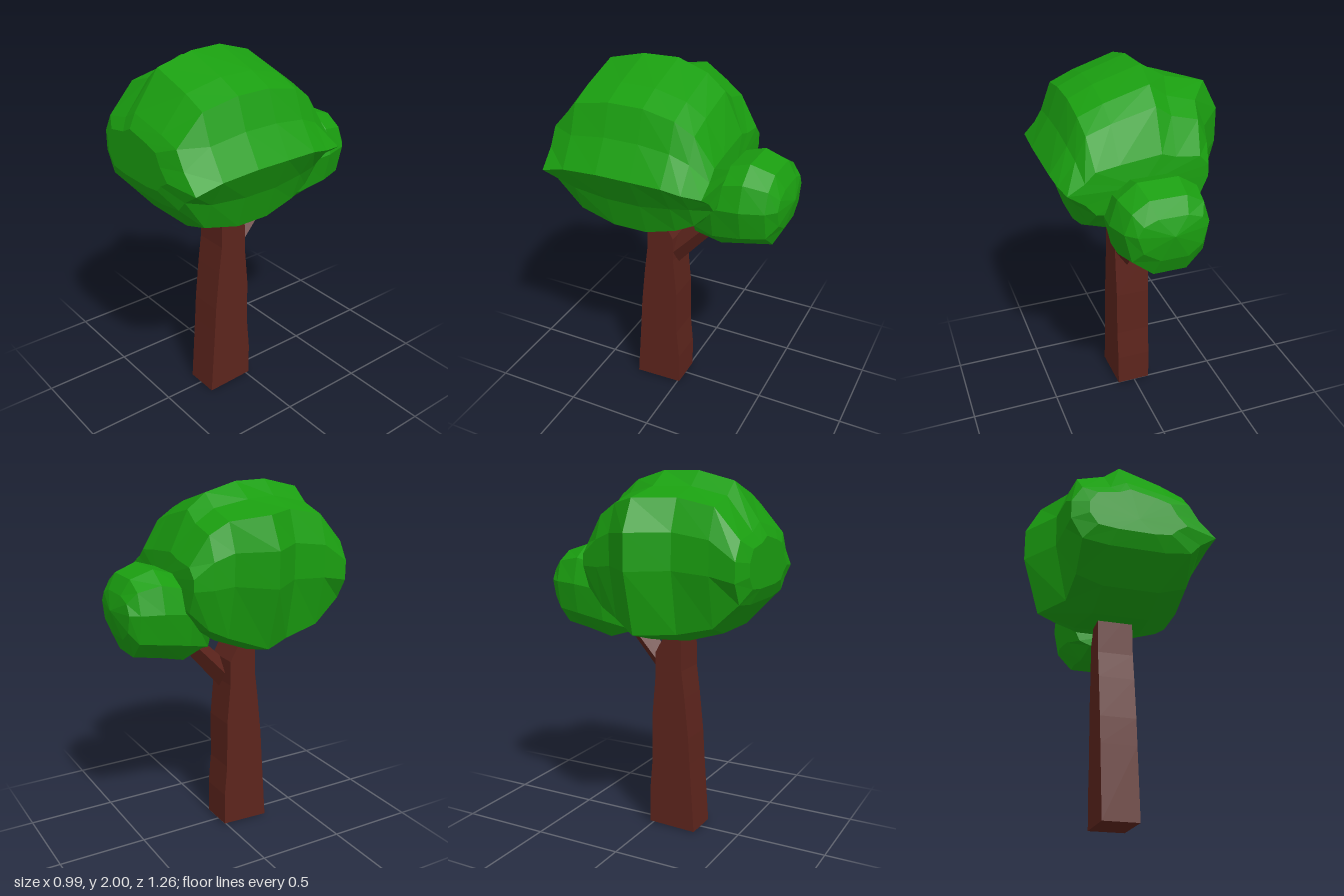
import * as THREE from 'three';

// Lofts a faceted blob front to back. section: points as fractions of the half extents,
// counter-clockwise from the top; slices: [z, left, right, bottom, middle, top].
function loft(section, slices, frontZ, backZ) {
  const rings = slices.map(([z, l, r, b, m, t]) =>
    section.map(([u, v]) => [u < 0 ? -u * l : u * r, v < 0 ? m + v * (m - b) : m + v * (t - m), z]));
  const n = section.length;
  const pos = [];
  const tri = (a, b, c) => pos.push(...a, ...b, ...c);
  for (let i = 0; i < rings.length - 1; i++) {
    for (let j = 0; j < n; j++) {
      const k = (j + 1) % n;
      const p = rings[i], q = rings[i + 1];
      tri(p[j], q[j], p[k]);
      tri(p[k], q[j], q[k]);
    }
  }
  // End caps
  const centre = ([, l, r, , m], z) => [(l + r) / 2, m, z];
  const first = rings[0], last = rings[rings.length - 1];
  const cf = centre(slices[0], frontZ), cb = centre(slices[slices.length - 1], backZ);
  for (let j = 0; j < n; j++) {
    const k = (j + 1) % n;
    tri(cf, first[j], first[k]);
    tri(cb, last[k], last[j]);
  }
  const geo = new THREE.BufferGeometry();
  geo.setAttribute('position', new THREE.Float32BufferAttribute(pos, 3));
  geo.computeVertexNormals();
  return geo;
}

export function createModel() {
  const group = new THREE.Group();
  const leaf = new THREE.MeshStandardMaterial({ color: 0x1a9e10, flatShading: true });
  const bark = new THREE.MeshStandardMaterial({ color: 0x5c241c, flatShading: true });
  const add = (name, geo, mat) => {
    const mesh = new THREE.Mesh(geo, mat);
    mesh.name = name;
    group.add(mesh);
    return mesh;
  };

  // Trunk: side profile (z, y) extruded across x
  const profile = [
    [0.265, 0], [0.235, 0.4], [0.225, 0.55], [0.2, 0.78], [0.18, 0.93], [0.175, 1.2],
    [0.09, 1.2], [0.07, 1.11], [0.02, 1.02], [0.02, 0.88], [0.0, 0.65], [0.0, 0.38], [-0.015, 0.2], [-0.015, 0.01],
  ];
  const trunkShape = new THREE.Shape(profile.map(([z, y]) => new THREE.Vector2(-z, y)));
  const trunkGeo = new THREE.ExtrudeGeometry(trunkShape, { depth: 0.195, bevelEnabled: false });
  trunkGeo.rotateY(Math.PI / 2).translate(-0.09, 0, 0);
  add('trunk', trunkGeo, bark);

  // Branch: four-sided, edge facing sideways
  const from = new THREE.Vector3(0.035, 0.85, 0.1);
  const to = new THREE.Vector3(0.035, 1.24, -0.27);
  const branch = add('branch', new THREE.CylinderGeometry(0.045, 0.07, from.distanceTo(to), 4), bark);
  branch.position.lerpVectors(from, to, 0.5);
  branch.quaternion.setFromUnitVectors(new THREE.Vector3(0, 1, 0), to.clone().sub(from).normalize());

  // Main crown: ridge on the left side, a single spike on the right
  const crownSection = [
    [-0.12, 1], [-0.38, 0.83], [-0.83, 0.72], [-1, 0.36], [-1, -0.06], [-0.82, -0.86], [-0.4, -1],
    [0.36, -1], [0.68, -0.86], [0.8, -0.43], [1, 0], [0.8, 0.35], [0.68, 0.7], [0.41, 0.83],
  ];
  add('mainCrown', loft(crownSection, [
    [0.63, -0.25, 0.28, 1.42, 1.5, 1.68],
    [0.59, -0.34, 0.455, 1.34, 1.48, 1.75],
    [0.45, -0.34, 0.475, 1.18, 1.52, 1.95],
    [0.25, -0.35, 0.49, 1.12, 1.54, 2.0],
    [0.06, -0.495, 0.49, 1.12, 1.54, 2.0],
    [-0.11, -0.35, 0.49, 1.18, 1.54, 1.95],
    [-0.21, -0.32, 0.475, 1.24, 1.52, 1.87],
    [-0.31, -0.29, 0.455, 1.36, 1.51, 1.66],
  ], 0.63, -0.33), leaf);

  // Small crown on the branch
  const smallSection = [
    [-0.35, 1], [-0.82, 0.72], [-1, 0.1], [-0.85, -0.6], [-0.4, -1],
    [0.4, -1], [0.85, -0.6], [1, 0.1], [0.85, 0.68], [0.5, 1],
  ];
  add('smallCrown', loft(smallSection, [
    [-0.14, -0.14, 0.18, 1.12, 1.18, 1.3],
    [-0.27, -0.2, 0.265, 1.08, 1.34, 1.54],
    [-0.43, -0.21, 0.285, 1.12, 1.36, 1.59],
    [-0.555, -0.19, 0.25, 1.14, 1.37, 1.55],
    [-0.605, -0.16, 0.2, 1.24, 1.38, 1.47],
  ], -0.13, -0.635), leaf);

  return group;
}
